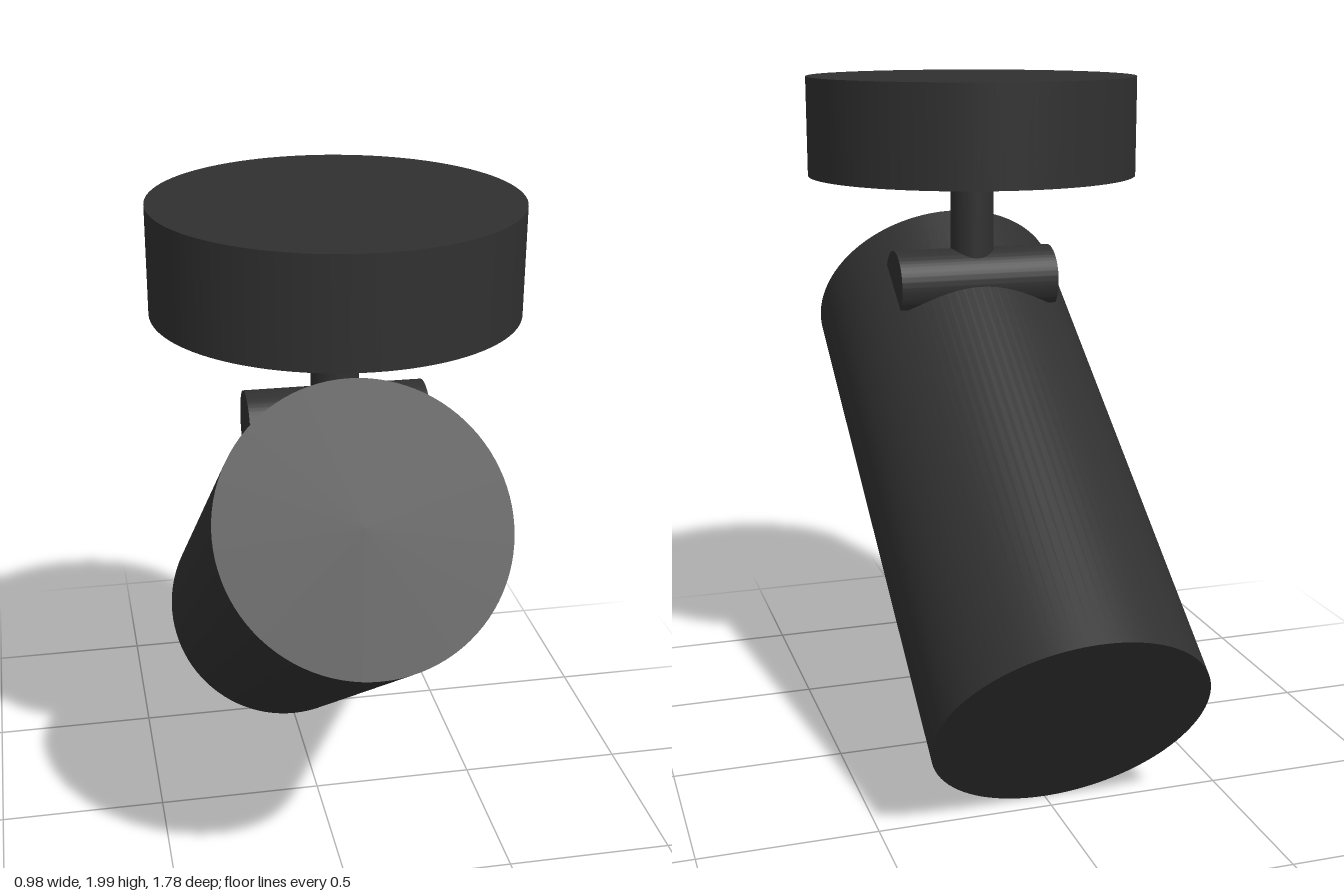
import * as THREE from 'three';
import { toCreasedNormals } from 'three/addons/utils/BufferGeometryUtils.js';

export function createModel() {
  const model = new THREE.Group();
  const material = new THREE.MeshStandardMaterial({ color: 0x303030 });
  const tilt = THREE.MathUtils.degToRad(35);
  const mountZ = 0.265;

  const add = (name, geometry, y, z) => {
    const mesh = new THREE.Mesh(geometry, material);
    mesh.name = name;
    mesh.position.set(0, y, z);
    model.add(mesh);
    return mesh;
  };
  const cylinder = (radius, height, sides) =>
    new THREE.CylinderGeometry(radius, radius, height, sides);

  // Round ceiling plate and the short stem below it
  add('ceilingMount', cylinder(0.49, 0.29, 96), 1.855, mountZ);
  add('stem', cylinder(0.065, 0.34, 48), 1.56, mountZ);

  // Lamp barrel, tilted so its front end points up
  const barrel = add('lampBarrel', cylinder(0.39, 1.63, 96), 0.7925, 0.0025);
  barrel.rotation.x = Math.PI / 2 - tilt;

  // Half-round swivel joint lying across the top of the barrel
  const halfLength = 0.245;
  const profile = new THREE.Shape();
  profile.absarc(0, 0, 0.1, -0.15, Math.PI + 0.15, false);
  profile.closePath();
  const jointGeometry = new THREE.ExtrudeGeometry(profile, {
    depth: 2 * halfLength, bevelEnabled: false, curveSegments: 32,
  });
  jointGeometry.translate(0, 0, -halfLength);
  jointGeometry.rotateY(-Math.PI / 2);
  const joint = add('swivelJoint', toCreasedNormals(jointGeometry, 0.5), 1.387, mountZ);
  joint.rotation.x = -tilt;

  return model;
}
